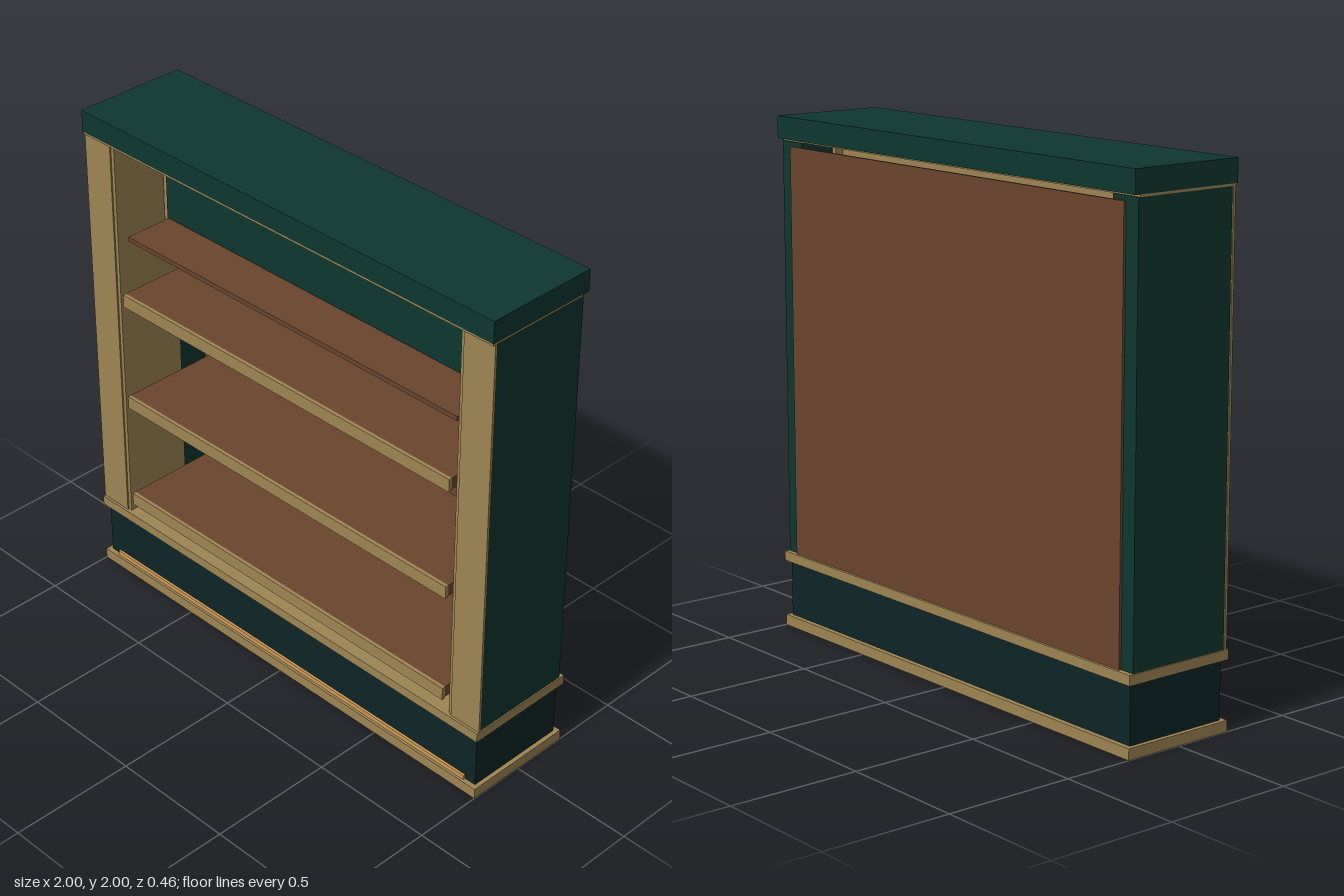
import * as THREE from 'three';

const paint = (name, color) => {
  const m = new THREE.MeshStandardMaterial({ color });
  m.name = name;
  return m;
};

export function createModel() {
  const green = paint('dark green', 0x0e372f);
  const slate = paint('blackish teal', 0x0d2527);
  const tan = paint('tan trim', 0x9e8553);
  const brown = paint('brown wood', 0x6b452d);
  const amber = paint('amber light', 0xcf9a55);

  const group = new THREE.Group();
  group.name = 'bookcase';

  // Box given by its minimum and maximum along each axis
  const box = (name, mat, [x0, x1], [y0, y1], [z0, z1], parent = group) => {
    const mesh = new THREE.Mesh(new THREE.BoxGeometry(x1 - x0, y1 - y0, z1 - z0), mat);
    mesh.position.set((x0 + x1) / 2, (y0 + y1) / 2, (z0 + z1) / 2);
    mesh.name = name;
    parent.add(mesh);
    return mesh;
  };
  const wide = (w) => [-w, w];

  // Base with its trim boards and low light strip
  box('footBoard', tan, wide(1), [0, 0.042], wide(0.23));
  box('plinth', slate, wide(0.983), [0.042, 0.262], wide(0.21));
  box('ledge', tan, wide(1), [0.262, 0.3], wide(0.23));
  box('plinthLight', amber, wide(0.935), [0.042, 0.06], [0.21, 0.22]);

  // Side walls, front stiles and inner linings
  for (const s of [-1, 1]) {
    const side = new THREE.Group();
    side.name = s > 0 ? 'leftSide' : 'rightSide';
    group.add(side);
    const span = (a, b) => (s > 0 ? [a, b] : [-b, -a]);
    box('wall', green, span(0.87, 0.995), [0.3, 1.906], wide(0.21), side);
    box('stile', tan, span(0.865, 1), [0.3, 1.906], [0.21, 0.22], side);
    box('lining', tan, span(0.85, 0.87), [0.3, 1.906], [-0.07, 0.214], side);
  }

  // Back panel
  box('backPanel', brown, wide(0.935), [0.3, 1.888], [-0.22, -0.21]);

  // Cornice and the trim beneath it
  box('cornice', green, wide(1), [1.915, 2], wide(0.23));
  box('corniceTrim', tan, wide(0.998), [1.906, 1.915], [-0.205, 0.228]);
  box('corniceLight', tan, wide(0.8), [1.898, 1.906], [0.17, 0.19]);

  // Header panel with its frame and the narrow shelf in front
  box('headerFrame', tan, wide(0.845), [1.52, 1.888], [-0.04, -0.01]);
  box('headerPanel', green, wide(0.82), [1.54, 1.872], [-0.01, -0.002]);
  box('headerShelf', brown, wide(0.82), [1.517, 1.535], [-0.01, 0.19]);
  box('headerLight', amber, wide(0.785), [1.507, 1.517], [0.15, 0.17]);

  // Three shelves, each with a front lip and a strip below
  for (const y of [0.4, 0.85, 1.3]) {
    const shelf = new THREE.Group();
    shelf.name = 'shelf';
    group.add(shelf);
    box('board', brown, wide(0.825), [y - 0.045, y], [-0.19, 0.21], shelf);
    box('lip', tan, wide(0.825), [y - 0.052, y], [0.21, 0.224], shelf);
    box('shelfLight', amber, wide(0.785), [y - 0.064, y - 0.045], [0.17, 0.19], shelf);
  }
  return group;
}
